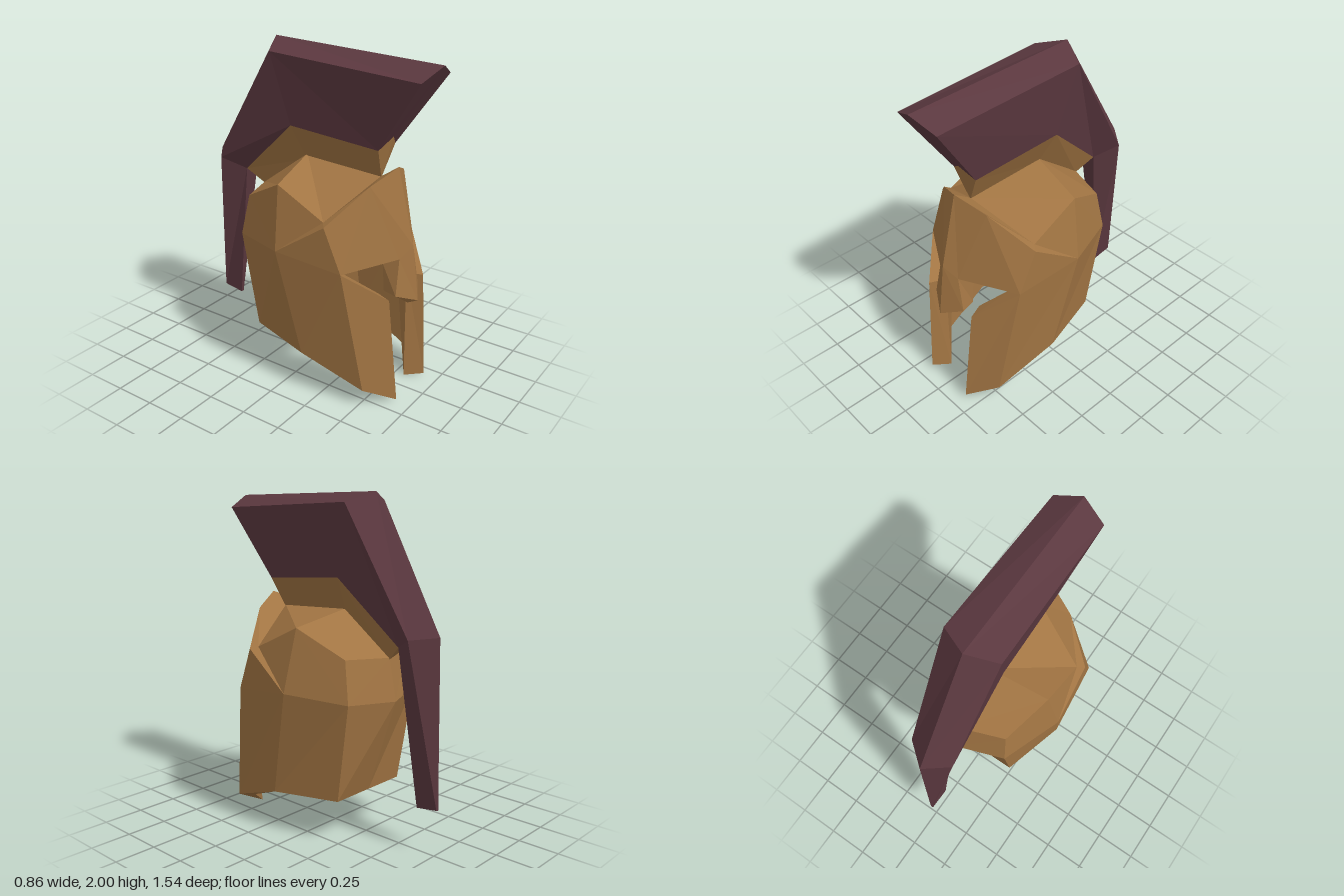
import * as THREE from 'three';

// Flat-shaded mesh from half-model faces (+x side), mirrored across x = 0
function mirroredMesh(name, faces, color) {
  const pos = [];
  const fan = (f) => {
    for (let i = 1; i < f.length - 1; i++) pos.push(...f[0], ...f[i], ...f[i + 1]);
  };
  for (const f of faces) {
    fan(f);
    fan(f.map(([x, y, z]) => [-x, y, z]).reverse());
  }
  const geo = new THREE.BufferGeometry();
  geo.setAttribute('position', new THREE.Float32BufferAttribute(pos, 3));
  geo.computeVertexNormals();
  const mesh = new THREE.Mesh(geo, new THREE.MeshStandardMaterial({ color, flatShading: true }));
  mesh.name = name;
  return mesh;
}

// Faces between successive half sections, with closed ends
function loft(sections) {
  const faces = [];
  for (let i = 0; i < sections.length - 1; i++) {
    const a = sections[i], b = sections[i + 1];
    for (let j = 0; j < a.length - 1; j++) faces.push([a[j], a[j + 1], b[j + 1], b[j]]);
  }
  faces.push([...sections[0]].reverse(), sections[sections.length - 1]);
  return faces;
}

// Helmet shell: named corners of the outer surface, half only
function shellFaces() {
  const v = {
    browPeak: [0, 1.375, 0.53], browMid: [0.18, 1.3, 0.46], browEnd: [0.4, 1.1, 0.31],
    eyeOut: [0.39, 0.845, 0.415], eyeIn: [0.08, 0.87, 0.6], bridge: [0, 0.935, 0.64],
    nostril: [0.125, 0.66, 0.61], noseTip: [0, 0.605, 0.685], ear: [0.43, 0.89, 0],
    domeFront: [0, 1.3, 0.42], domeCorner: [0.36, 1.11, 0.28],
    domeTop: [0, 1.335, -0.085], domeSide: [0.355, 1.26, -0.03],
    domeBack: [0, 1.09, -0.41], domeBackSide: [0.265, 1.105, -0.315],
    back: [0, 0.845, -0.46], backSide: [0.29, 0.86, -0.36],
    neckSide: [0.27, 0.27, -0.265], neck: [0, 0.27, -0.265],
    jaw: [0.38, 0.255, 0.14], chin: [0.325, 0.115, 0.53],
    cheekTip: [0.165, 0.02, 0.665], cheekTop: [0.195, 0.665, 0.61],
  };
  const outer = [
    // forehead, nose and temple
    ['browPeak', 'bridge', 'eyeIn', 'browMid'], ['browMid', 'eyeIn', 'eyeOut'],
    ['browMid', 'eyeOut', 'browEnd'], ['bridge', 'noseTip', 'nostril', 'eyeIn'],
    ['browEnd', 'eyeOut', 'ear'],
    // step from brow plate to dome
    ['browPeak', 'browMid', 'domeCorner', 'domeFront'],
    ['browMid', 'browEnd', 'domeCorner'], ['browEnd', 'ear', 'domeCorner'],
    // dome
    ['domeFront', 'domeCorner', 'domeSide', 'domeTop'], ['domeCorner', 'ear', 'domeSide'],
    ['domeTop', 'domeSide', 'domeBackSide', 'domeBack'],
    ['domeSide', 'ear', 'backSide', 'domeBackSide'],
    ['domeBack', 'domeBackSide', 'backSide', 'back'],
    // neck guard and cheek
    ['back', 'backSide', 'neckSide', 'neck'], ['backSide', 'ear', 'jaw', 'neckSide'],
    ['ear', 'eyeOut', 'chin', 'jaw'], ['eyeOut', 'cheekTop', 'cheekTip', 'chin'],
  ];
  const rim = ['noseTip', 'nostril', 'eyeIn', 'eyeOut', 'cheekTop', 'cheekTip', 'chin', 'jaw', 'neckSide', 'neck'];

  // inner surface: drawn in towards the vertical axis
  const inner = {};
  for (const k in v) {
    const [x, y, z] = v[k];
    inner[k] = [x * 0.8, y > 1 ? y * 0.93 : y, z * 0.85];
  }
  inner.cheekTip = [0.105, 0, 0.56];
  inner.noseTip = [0, 0.57, 0.62];
  inner.eyeIn = [0.09, 0.82, 0.5];
  inner.eyeOut = [0.29, 0.8, 0.36];

  const faces = [];
  for (const f of outer) {
    faces.push(f.map((k) => v[k]));
    faces.push(f.map((k) => inner[k]).reverse());
  }
  for (let i = 0; i < rim.length - 1; i++) {
    const a = rim[i], b = rim[i + 1];
    faces.push([v[b], v[a], inner[a], inner[b]]);
  }
  return faces;
}

export function createModel() {
  const group = new THREE.Group();
  group.name = 'crestedHelmet';
  const bronze = 0xa27543, plumeColor = 0x5b383f;

  group.add(mirroredMesh('helmetShell', shellFaces(), bronze));

  // Lower edge shared by the plume and its holder: centre and side point
  const seat = [
    [[0, 1.54, 0.49], [0.09, 1.475, 0.45]],
    [[0, 1.53, -0.12], [0.115, 1.525, -0.12]],
    [[0, 1.17, -0.51], [0.05, 1.17, -0.51]],
  ];

  // Crest holder, flaring up from the dome ridge
  const feet = [[0, 1.29, 0.42], [0, 1.3, -0.085], [0, 1.08, -0.41]];
  const holder = seat.map(([c, s], i) => [c, s, feet[i]]);
  group.add(mirroredMesh('crestHolder', loft(holder), bronze));

  // Plume: ridge, side edge, lower edge, lower centre
  const ridge = [[0, 1.96, 0.77], [0, 2, -0.3], [0, 1.25, -0.75]];
  const side = [[0.157, 1.89, 0.725], [0.17, 1.945, -0.22], [0.137, 1.24, -0.64]];
  const plume = seat.map(([c, s], i) => [ridge[i], side[i], s, c]);
  plume.push([[0, 0.28, -0.77], [0.01, 0.28, -0.765], [0.01, 0.26, -0.63], [0, 0.26, -0.63]]);
  group.add(mirroredMesh('plume', loft(plume), plumeColor));

  return group;
}
